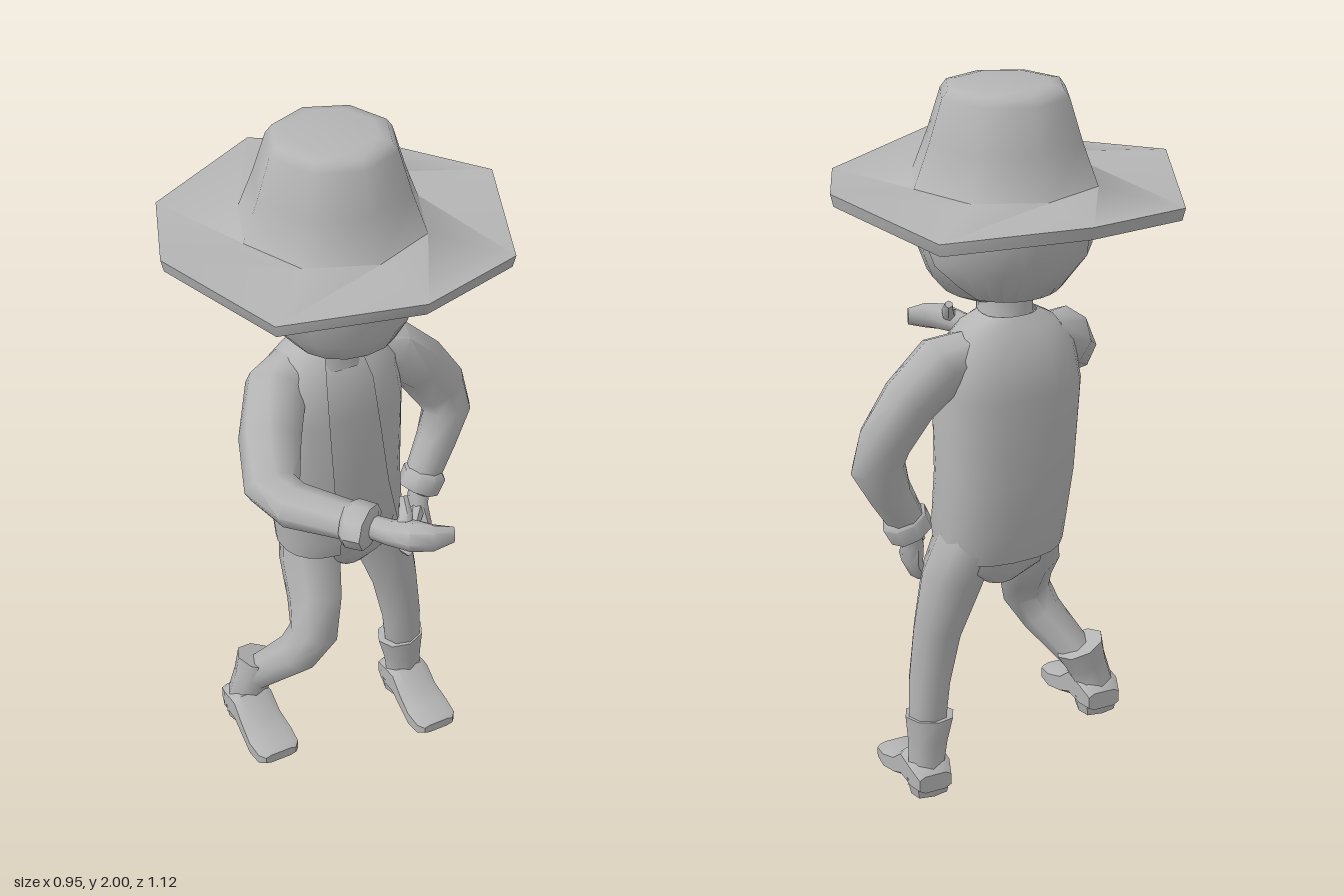
import * as THREE from 'three';
import { toCreasedNormals } from 'three/addons/utils/BufferGeometryUtils.js';

const V = (x, y, z) => new THREE.Vector3(x, y, z);
const TAU = Math.PI * 2;
const rad = THREE.MathUtils.degToRad;

// Skin over cross-sections [x, y, z, radiusA, radiusB, startDeg, endDeg].
// Rings face along the path, or along `axis` when given; `pow` < 1 squares them off.
function loft(sections, { sides = 8, ref = V(0, 0, 1), axis = null, pow = 1, turn = 0, open = false, crease = 0.95, deform = null } = {}) {
  const pos = [], idx = [], n = open ? sides + 1 : sides;
  const centres = sections.map((s) => V(s[0], s[1], s[2]));
  const bend = (v) => Math.sign(v) * Math.abs(v) ** pow;
  sections.forEach((s, i) => {
    const next = centres[Math.min(i + 1, centres.length - 1)];
    const t = axis ? axis.clone() : next.clone().sub(centres[Math.max(i - 1, 0)]).normalize();
    const side = t.clone().cross(ref).normalize();
    const up = t.clone().cross(side);
    for (let j = 0; j < n; j++) {
      const a = open ? rad(s[5] + (s[6] - s[5]) * j / sides) : turn + TAU * j / sides;
      const p = centres[i].clone().addScaledVector(side, s[3] * bend(Math.cos(a))).addScaledVector(up, s[4] * bend(Math.sin(a)));
      if (deform) deform(p, i, a, j);
      pos.push(p.x, p.y, p.z);
    }
  });
  for (let i = 0; i + 1 < sections.length; i++) {
    for (let j = 0; j < sides; j++) {
      const k = (j + 1) % n, a = i * n + j, b = i * n + k;
      idx.push(a, b, b + n, a, b + n, a + n);
    }
  }
  if (!open) {
    const last = (sections.length - 1) * n, c = pos.length / 3;
    for (const start of [0, last]) {
      const mid = V(0, 0, 0);
      for (let j = 0; j < n; j++) mid.add(V(...pos.slice((start + j) * 3, (start + j) * 3 + 3)));
      mid.divideScalar(n);
      pos.push(mid.x, mid.y, mid.z);
    }
    for (let j = 0; j < n; j++) {
      const k = (j + 1) % n;
      idx.push(c, k, j, c + 1, last + j, last + k);
    }
  }
  const g = new THREE.BufferGeometry();
  g.setAttribute('position', new THREE.Float32BufferAttribute(pos, 3));
  g.setIndex(idx);
  return toCreasedNormals(g, crease);
}

export function createModel() {
  const grey = new THREE.MeshStandardMaterial({ color: 0xb4b4b4, side: THREE.DoubleSide });
  grey.name = 'plain grey';
  const model = new THREE.Group();
  model.name = 'figure';
  const Y = V(0, 1, 0), Z = V(0, 0, 1);
  const add = (name, sections, opts) => {
    const m = new THREE.Mesh(loft(sections, opts), grey);
    m.name = name;
    model.add(m);
  };

  // Hat: eight-sided, with a rippled brim
  add('hat', [[1.70, 0.23], [1.715, 0.465], [1.748, 0.473], [1.752, 0.25], [1.86, 0.208], [1.97, 0.172], [1.993, 0.155], [2, 0.12]]
    .map(([y, r]) => [0, y, -0.08, r, r > 0.4 ? r + 0.008 : r]), {
    axis: Y, crease: 1.2,
    deform: (p, i, a) => { if (i === 1 || i === 2) p.y += 0.02 * Math.cos(4 * a) - 0.012 * Math.max(0, Math.sin(a)); },
  });

  // Head and neck
  add('head', [
    [0, 1.425, -0.02, 0.085, 0.095], [0, 1.45, -0.025, 0.14, 0.135], [0, 1.5, -0.045, 0.185, 0.175],
    [0, 1.57, -0.055, 0.215, 0.19], [0, 1.65, -0.06, 0.225, 0.198], [0, 1.74, -0.06, 0.225, 0.2],
  ], { axis: Y, sides: 16, pow: 0.95 });
  add('neck', [[0, 1.34, -0.09, 0.1, 0.09], [0, 1.4, -0.085, 0.075, 0.075], [0, 1.47, -0.08, 0.075, 0.08]], { axis: Y, sides: 10 });

  // Hair: cap with a jagged fringe that drops towards the nape
  const hem = [[-1, 1.465], [-0.6, 1.47], [-0.3, 1.53], [-0.12, 1.6], [0.05, 1.645], [0.4, 1.66], [1, 1.68]];
  const hemAt = (c) => {
    const k = Math.max(1, hem.findIndex((h) => h[0] >= c - 1e-6));
    const [a, b] = [hem[k - 1], hem[k]];
    return a[1] + (b[1] - a[1]) * (c - a[0]) / (b[0] - a[0]);
  };
  add('hair', [0, 1, 2, 3, 4].map(() => [0, 1.6, -0.08, 1, 1]), {
    axis: Y, sides: 28,
    deform: (p, i, a, j) => {
      const c = -Math.sin(a), jag = c > 0.5 ? (j % 3 - 1) * 0.014 : 0;
      p.y = THREE.MathUtils.lerp(hemAt(c) + jag, 1.73, Math.max(0, i - 1) / 3);
      const r = (0.23 - Math.max(0, 1.57 - p.y) * 0.75) * (i === 0 ? 0.86 : 1);
      p.x = r * Math.cos(a);
      p.z = -0.08 + r * c * (c < 0 ? 0.96 : 1);
    },
  });

  // Shirt and hips
  add('shirtAndHips', [
    [0.04, 0.645, -0.1, 0.05, 0.07], [0.035, 0.69, -0.1, 0.13, 0.1], [0.025, 0.78, -0.095, 0.165, 0.115],
    [0.01, 0.95, -0.095, 0.175, 0.122], [0, 1.2, -0.1, 0.185, 0.125], [0, 1.31, -0.1, 0.165, 0.11],
    [0, 1.37, -0.1, 0.115, 0.075], [0, 1.4, -0.1, 0.06, 0.05],
  ], { axis: Y, sides: 16, pow: 0.8 });

  // Jacket: open shell with the left front cut away towards the hem
  add('jacket', [
    [0.02, 0.745, -0.09, 0.18, 0.122, -46, 256], [0.02, 0.8, -0.092, 0.185, 0.135, -50, 256],
    [0.005, 0.95, -0.095, 0.19, 0.138, -60, 256], [0, 1.2, -0.1, 0.2, 0.142, -73, 254],
    [0, 1.31, -0.1, 0.18, 0.127, -74, 252], [0, 1.375, -0.1, 0.13, 0.088, -72, 250], [0, 1.405, -0.1, 0.075, 0.066, -65, 245],
  ], {
    axis: Y, sides: 18, pow: 0.8, open: true,
    deform: (p, i, a) => { if (i === 0) p.y -= 0.025 * Math.max(0, Math.sin(a)); },
  });

  // Right arm, reaching forward
  add('rightSleeve', [
    [-0.1, 1.32, -0.11, 0.07, 0.06], [-0.17, 1.29, -0.08, 0.085, 0.085], [-0.245, 1.22, 0.03, 0.082, 0.08],
    [-0.295, 1.155, 0.14, 0.075, 0.064], [-0.275, 1.145, 0.22, 0.068, 0.056], [-0.17, 1.158, 0.38, 0.055, 0.045],
  ], { ref: Y });
  add('rightCuff', [
    [-0.2, 1.155, 0.35, 0.055, 0.045], [-0.185, 1.155, 0.365, 0.072, 0.058],
    [-0.155, 1.157, 0.405, 0.07, 0.056], [-0.15, 1.157, 0.412, 0.04, 0.035],
  ], { ref: Y });
  add('rightHand', [
    [-0.16, 1.157, 0.39, 0.03, 0.03], [-0.125, 1.16, 0.445, 0.035, 0.032], [-0.085, 1.17, 0.5, 0.042, 0.04],
    [-0.045, 1.17, 0.53, 0.028, 0.038], [0.005, 1.17, 0.543, 0.012, 0.025],
  ], { ref: Y });
  add('rightThumb', [
    [-0.1, 1.175, 0.475, 0.025, 0.025], [-0.08, 1.2, 0.45, 0.018, 0.02], [-0.07, 1.235, 0.42, 0.012, 0.012],
  ], { sides: 6 });

  // Left arm, bent with the hand by the hip
  add('leftSleeve', [
    [0.1, 1.31, -0.11, 0.06, 0.065], [0.19, 1.285, -0.11, 0.085, 0.08], [0.285, 1.2, -0.11, 0.08, 0.072],
    [0.355, 1.1, -0.11, 0.078, 0.062], [0.375, 1.03, -0.105, 0.076, 0.058], [0.335, 0.94, -0.09, 0.06, 0.055],
    [0.275, 0.83, -0.07, 0.05, 0.05],
  ]);
  add('leftCuff', [
    [0.295, 0.865, -0.073, 0.045, 0.045], [0.29, 0.85, -0.072, 0.066, 0.06],
    [0.268, 0.805, -0.07, 0.064, 0.058], [0.263, 0.797, -0.07, 0.04, 0.035],
  ]);
  add('leftHand', [
    [0.27, 0.81, -0.068, 0.03, 0.03], [0.258, 0.76, -0.055, 0.03, 0.034], [0.258, 0.71, -0.04, 0.028, 0.048],
    [0.238, 0.665, -0.03, 0.024, 0.042], [0.19, 0.632, -0.015, 0.012, 0.025],
  ]);
  add('leftThumb', [
    [0.25, 0.755, -0.04, 0.022, 0.022], [0.225, 0.745, -0.01, 0.018, 0.018], [0.2, 0.73, 0.02, 0.011, 0.011],
  ], { sides: 6, ref: Y });

  // Trouser legs: right knee raised, left leg straight
  add('rightLeg', [
    [-0.06, 0.77, -0.1, 0.09, 0.1], [-0.08, 0.68, -0.075, 0.086, 0.095], [-0.1, 0.59, -0.01, 0.078, 0.082],
    [-0.125, 0.5, 0.03, 0.073, 0.068], [-0.165, 0.42, 0.005, 0.063, 0.064], [-0.245, 0.3, -0.09, 0.05, 0.052],
  ]);
  add('leftLeg', [
    [0.12, 0.78, -0.105, 0.085, 0.1], [0.165, 0.66, -0.1, 0.09, 0.085], [0.205, 0.5, -0.09, 0.072, 0.063],
    [0.23, 0.35, -0.09, 0.062, 0.057], [0.245, 0.2, -0.1, 0.055, 0.052],
  ]);

  // Boots: shaft, foot and heel; `lean` shifts the shaft top sideways
  const boot = (name, x, y, topX, topY) => {
    add(name + 'Shaft', [
      [x, y + 0.04, -0.11, 0.06, 0.052], [x, y + 0.1, -0.105, 0.055, 0.05],
      [(x + topX) / 2, (y + 0.1 + topY) / 2, -0.1, 0.06, 0.056], [topX, topY, -0.098, 0.073, 0.062],
    ]);
    // Foot slices: z, half width, underside, top
    add(name + 'Foot', [
      [-0.168, 0.05, 0.035, 0.09], [-0.13, 0.062, 0.03, 0.12], [-0.06, 0.062, 0.03, 0.13],
      [-0.01, 0.064, 0.012, 0.085], [0.05, 0.07, 0, 0.062], [0.1, 0.066, 0.005, 0.052], [0.118, 0.05, 0.015, 0.045],
    ].map(([z, w, lo, hi]) => [x, y + (lo + hi) / 2, z, w, (hi - lo) / 2]), { axis: Z, ref: Y, pow: 0.5, turn: Math.PI / 8, crease: 0.8 });
    add(name + 'Heel', [[x, y + 0.012, -0.115, 0.052, 0.044], [x, y + 0.06, -0.112, 0.062, 0.055]], { axis: Y, pow: 0.6 });
  };
  boot('rightBoot', -0.28, 0.13, -0.235, 0.35);
  boot('leftBoot', 0.25, 0, 0.235, 0.245);

  return model;
}
